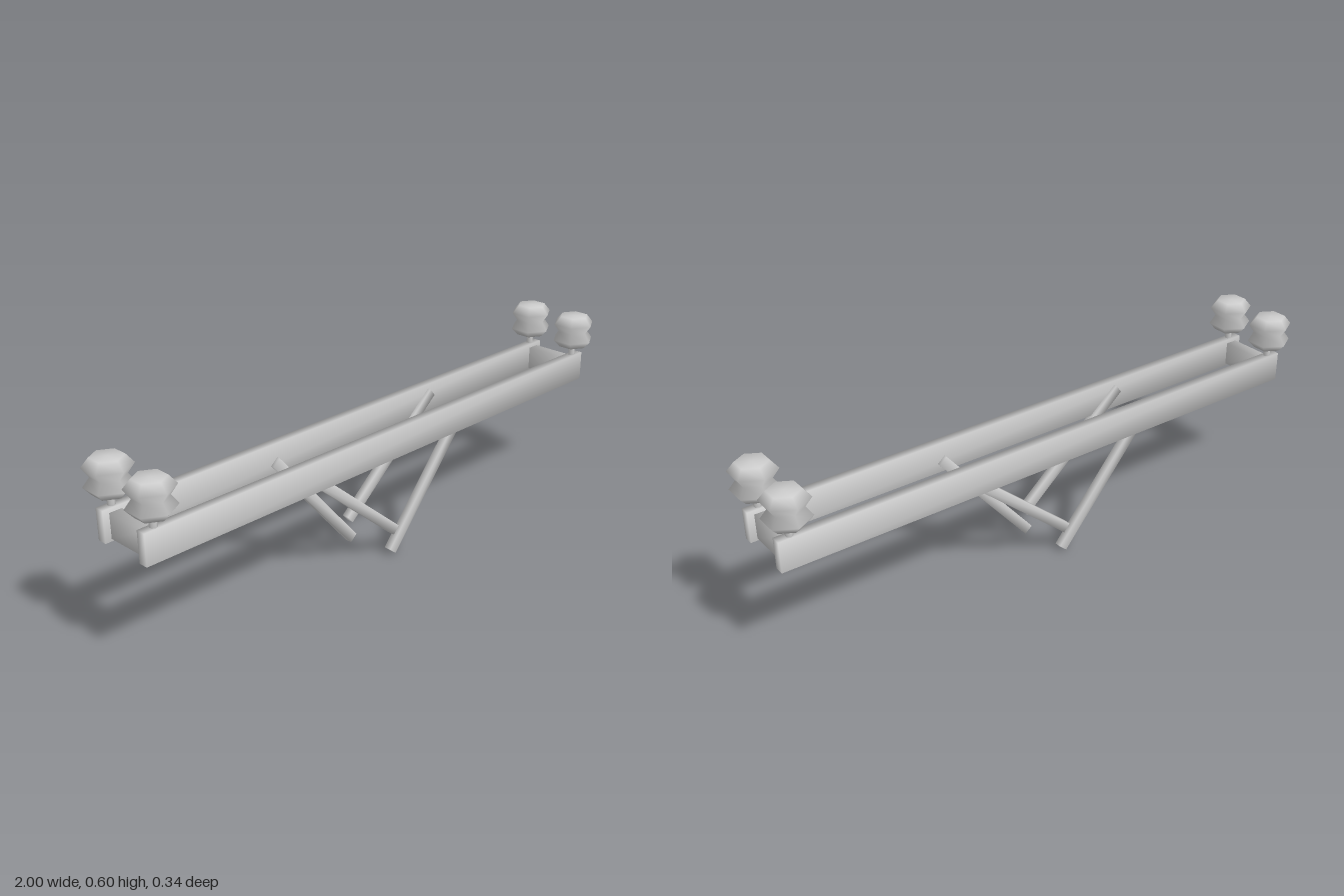
import * as THREE from 'three';
import { mergeVertices } from 'three/addons/utils/BufferGeometryUtils.js';

const material = new THREE.MeshStandardMaterial({ color: 0xcccccc });

// Share corner vertices so that the normals run softly round the edges
function soften(geometry) {
  geometry.deleteAttribute('normal');
  geometry.deleteAttribute('uv');
  const merged = mergeVertices(geometry, 1e-4);
  merged.computeVertexNormals();
  return merged;
}

function addMesh(parent, name, geometry, x, y, z) {
  const mesh = new THREE.Mesh(soften(geometry), material);
  mesh.name = name;
  mesh.position.set(x, y, z);
  parent.add(mesh);
  return mesh;
}

// Square-ended strut between two points in a plane of constant z
function addStrut(parent, name, [x0, y0], [x1, y1], z) {
  const length = Math.hypot(x1 - x0, y1 - y0);
  const strut = addMesh(parent, name, new THREE.BoxGeometry(length, 0.034, 0.025),
    (x0 + x1) / 2, (y0 + y1) / 2, z);
  strut.rotation.z = Math.atan2(y1 - y0, x1 - x0);
}

export function createModel() {
  const model = new THREE.Group();
  model.name = 'railStand';

  // Two long side rails
  for (const side of [1, -1]) {
    addMesh(model, side > 0 ? 'frontRail' : 'backRail',
      new THREE.BoxGeometry(1.956, 0.101, 0.032), 0, 0.4075, side * 0.094);
  }

  // Crossbars joining the rail ends
  for (const end of [1, -1]) {
    addMesh(model, end > 0 ? 'leftCrossbar' : 'rightCrossbar',
      new THREE.BoxGeometry(0.042, 0.08, 0.165), end * 0.936, 0.405, 0);
  }

  // Six-sided waisted knobs on short stems at the four corners
  const profile = [
    [0, 0.493], [0.05, 0.493], [0.0735, 0.518], [0.052, 0.547],
    [0.0735, 0.577], [0.05, 0.605], [0, 0.605],
  ].map(([r, y]) => new THREE.Vector2(r, y));
  for (const end of [1, -1]) {
    for (const side of [1, -1]) {
      const post = new THREE.Group();
      post.name = 'cornerPost';
      post.position.set(end * 0.936, 0, side * 0.095);
      addMesh(post, 'stem', new THREE.CylinderGeometry(0.012, 0.012, 0.07, 6), 0, 0.47, 0);
      addMesh(post, 'knob', new THREE.LatheGeometry(profile, 6), 0, 0, 0);
      model.add(post);
    }
  }

  // V-shaped supports: one strut reaches the ground, the other meets it above.
  // The back pair is the front pair turned half round, about x = -0.015.
  for (const side of [1, -1]) {
    const support = new THREE.Group();
    support.name = side > 0 ? 'frontSupport' : 'backSupport';
    const place = ([x, y]) => [side > 0 ? x : -x - 0.03, y];
    const z = side * 0.079;
    addStrut(support, 'longStrut', place([-0.003, 0.012]), place([0.327, 0.4]), z);
    addStrut(support, 'shortStrut', place([0.012, 0.086]), place([-0.389, 0.429]), z);
    model.add(support);
  }

  return model;
}
